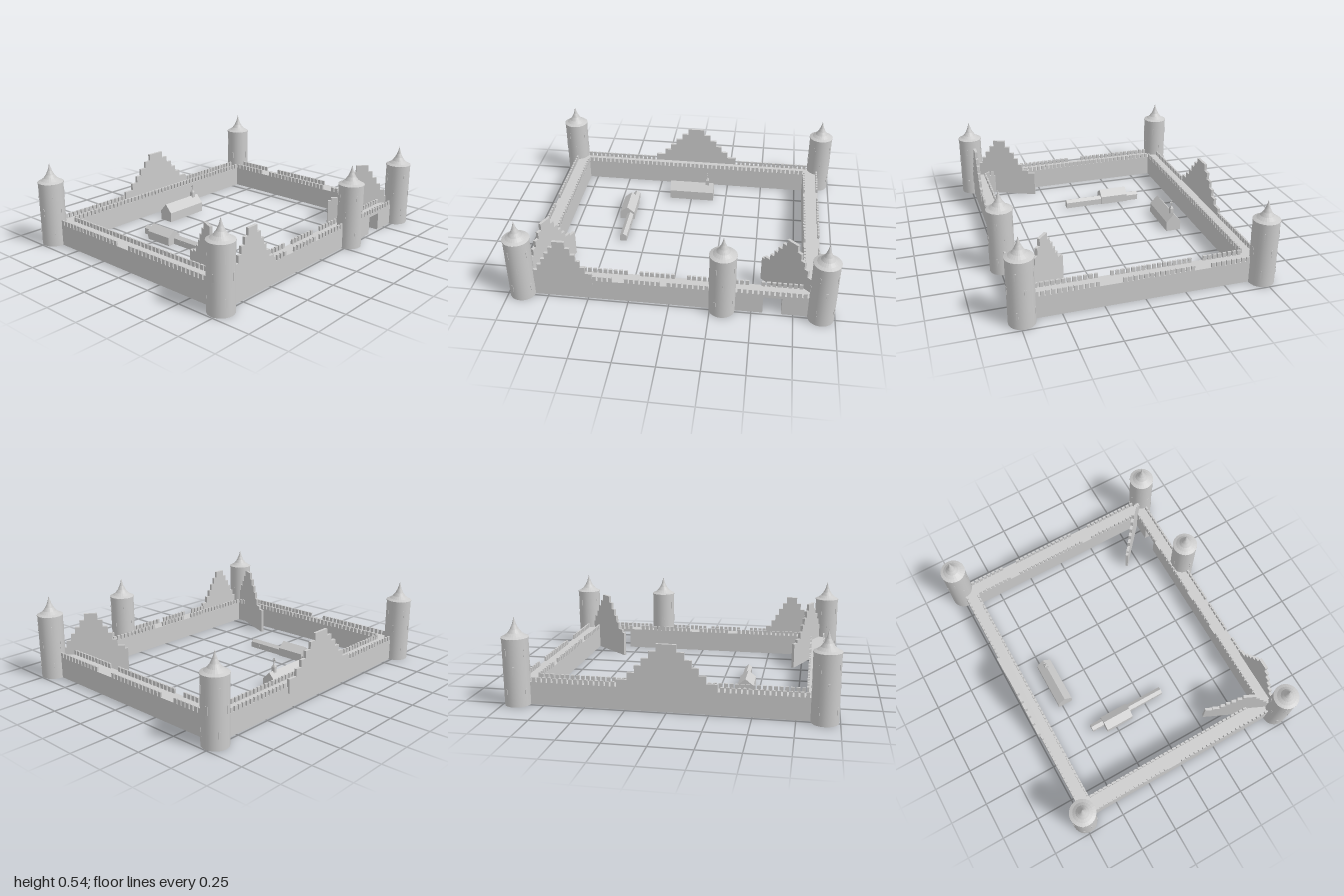
import * as THREE from 'three';

const mat = new THREE.MeshStandardMaterial({ color: 0xcccccc });
const flat = new THREE.MeshStandardMaterial({ color: 0xcccccc, flatShading: true });

function add(parent, name, geo, x = 0, y = 0, z = 0, m = mat) {
  const mesh = new THREE.Mesh(geo, m);
  mesh.name = name;
  mesh.position.set(x, y, z);
  parent.add(mesh);
  return mesh;
}

// Box given by its limits
function block(parent, name, x0, x1, y0, y1, z0, z1) {
  return add(parent, name, new THREE.BoxGeometry(x1 - x0, y1 - y0, z1 - z0),
    (x0 + x1) / 2, (y0 + y1) / 2, (z0 + z1) / 2);
}

const WALK = 0.14, TOP = 0.17;
const WX = 0.735, IX = 0.645, WZ = 0.907, IZ = 0.805;

// Row of merlons along x or z, leaving out the ruined gaps
function merlons(parent, name, alongX, fixed, from, to, gaps = []) {
  const row = new THREE.Group();
  row.name = name;
  const n = Math.round((to - from) / 0.0325), pitch = (to - from) / n;
  for (let i = 0; i < n; i++) {
    const c = from + (i + 0.5) * pitch;
    if (gaps.some(([a, b]) => c > a && c < b)) continue;
    const w = 0.011, t = 0.006;
    if (alongX) block(row, 'merlon', c - w, c + w, WALK, TOP, fixed - t, fixed + t);
    else block(row, 'merlon', fixed - t, fixed + t, WALK, TOP, c - w, c + w);
  }
  parent.add(row);
}

// Round tower with a flared pointed roof and slit windows
function tower(parent, x, z) {
  const g = new THREE.Group();
  g.name = 'tower';
  g.position.set(x, 0, z);
  add(g, 'towerBody', new THREE.CylinderGeometry(0.08, 0.08, 0.412, 24), 0, 0.206, 0);
  const profile = [[0, 0.41], [0.083, 0.41], [0.083, 0.417], [0.062, 0.427], [0.042, 0.443],
    [0.026, 0.465], [0.014, 0.49], [0.006, 0.515], [0, 0.54]];
  add(g, 'towerRoof', new THREE.LatheGeometry(profile.map(p => new THREE.Vector2(...p)), 24), 0, 0, 0, flat);
  for (let side = 0; side < 4; side++) {
    [[-0.5, 0.33], [0.17, 0.225], [-0.5, 0.085]].forEach(([a, y]) => {
      const t = a + side * Math.PI / 2;
      const slit = add(g, 'slitWindow', new THREE.BoxGeometry(0.012, 0.048, 0.006),
        Math.sin(t) * 0.0785, y, Math.cos(t) * 0.0785);
      slit.rotation.y = t;
    });
  }
  parent.add(g);
}

// Stepped gable wall; u runs along dir, centred on its peak
function steppedGable(parent, name, x, z, dir, scale, base, ends = [0, 0]) {
  const steps = [[0.3, 0.19], [0.235, 0.235], [0.19, 0.28], [0.15, 0.325], [0.105, 0.37], [0.06, 0.415]];
  const s = new THREE.Shape();
  const left = Math.min(-0.3 * scale, ends[0]), right = Math.max(0.3 * scale, ends[1]);
  s.moveTo(left, base);
  s.lineTo(left, 0.17);
  let y = 0.17;
  for (const [u, h] of steps) {
    s.lineTo(-u * scale, y);
    s.lineTo(-u * scale, h);
    y = h;
  }
  for (let i = steps.length - 1; i >= 0; i--) {
    s.lineTo(steps[i][0] * scale, steps[i][1]);
    s.lineTo(steps[i][0] * scale, i ? steps[i - 1][1] : 0.17);
  }
  s.lineTo(right, 0.17);
  s.lineTo(right, base);
  const depth = 0.018;
  const geo = new THREE.ExtrudeGeometry(s, { depth, bevelEnabled: false }).translate(0, 0, -depth / 2);
  add(parent, name, geo, x, 0, z).rotation.y = Math.atan2(-dir[1], dir[0]);
}

// House with a pitched roof, ridge along local z
function house(parent, name, x, z, width, length, eave, ridge, turn = 0) {
  const w = width / 2;
  const s = new THREE.Shape([[-w, 0], [w, 0], [w, eave], [0, ridge], [-w, eave]]
    .map(p => new THREE.Vector2(...p)));
  const geo = new THREE.ExtrudeGeometry(s, { depth: length, bevelEnabled: false }).translate(0, 0, -length / 2);
  add(parent, name, geo, x, 0, z).rotation.y = turn;
}

export function createModel() {
  const model = new THREE.Group();
  model.name = 'castle';

  // Curtain walls, with a gateway through the right-hand one at +x
  block(model, 'frontWall', -WX, WX, 0, WALK, IZ, WZ);
  block(model, 'backWall', -WX, WX, 0, WALK, -WZ, -IZ);
  block(model, 'sideWall', -WX, -IX, 0, WALK, -IZ, IZ);
  block(model, 'gateWall', IX, WX, 0, WALK, -0.568, IZ);
  block(model, 'gateWall', IX, WX, 0, WALK, -IZ, -0.68);
  block(model, 'gateLintel', IX, WX, 0.12, WALK, -0.68, -0.568);

  // Battlements
  const ox = WX - 0.006, ix = IX + 0.006, oz = WZ - 0.006, iz = IZ + 0.006;
  merlons(model, 'frontOuterBattlement', true, oz, -0.66, 0.66, [[-0.1, 0]]);
  merlons(model, 'frontInnerBattlement', true, iz, -IX, IX);
  merlons(model, 'backOuterBattlement', true, -oz, -0.66, 0.66, [[0.15, 0.28], [-0.39, -0.31]]);
  merlons(model, 'backInnerBattlement', true, -iz, -IX, IX, [[0.18, 0.25], [-0.39, -0.33]]);
  merlons(model, 'sideOuterBattlement', false, -ox, -0.83, 0.83, [[-0.3, 0.3]]);
  merlons(model, 'sideInnerBattlement', false, -ix, -IZ, IZ);
  merlons(model, 'gateOuterBattlement', false, ox, -0.83, 0.83, [[0.47, 0.84], [0.27, 0.33], [0, 0.06], [-0.4, -0.25]]);
  merlons(model, 'gateInnerBattlement', false, ix, -IZ, IZ, [[-0.55, -0.48], [-0.1, -0.02], [0.2, 0.27]]);

  // Towers
  for (const x of [-0.735, 0.733]) for (const z of [-0.915, 0.912]) tower(model, x, z);
  tower(model, 0.733, -0.322);

  // Stepped gables on the walls and at an angle in the corners
  steppedGable(model, 'sideGable', -0.737, 0, [0, 1], 1, 0.1);
  steppedGable(model, 'gateGable', 0.729, 0.657, [0, 1], 0.63, 0.1);
  steppedGable(model, 'frontCornerGable', 0.535, 0.796, [0.4, 0.18], 0.7, 0, [-0.258, 0.18]);
  steppedGable(model, 'backCornerGable', 0.563, -0.723, [0.23, -0.26], 0.7, 0, [-0.231, 0.18]);

  // Chapel with a ridge turret and cross
  house(model, 'chapel', -0.475, -0.002, 0.1, 0.315, 0.065, 0.12);
  block(model, 'chapelTurret', -0.487, -0.463, 0.1, 0.145, -0.124, -0.1);
  add(model, 'turretRoof', new THREE.ConeGeometry(0.017, 0.025, 4).rotateY(Math.PI / 4), -0.475, 0.157, -0.112, flat);
  block(model, 'crossPost', -0.4775, -0.4725, 0.16, 0.203, -0.1145, -0.1095);
  block(model, 'crossArm', -0.487, -0.463, 0.185, 0.19, -0.1145, -0.1095);

  // Main house and its long narrow wing
  house(model, 'mainHouse', -0.222, 0.42, 0.1, 0.195, 0.055, 0.095, Math.PI / 2);
  house(model, 'longWing', -0.135, 0.399, 0.045, 0.54, 0.04, 0.058, Math.PI / 2);
  for (let i = 0; i < 12; i++) {
    const x = -0.385 + i * 0.045;
    if (x > -0.34 && x < -0.11) continue;
    block(model, 'wingWindow', x - 0.007, x + 0.007, 0.015, 0.031, 0.3755, 0.4225);
  }
  return model;
}
